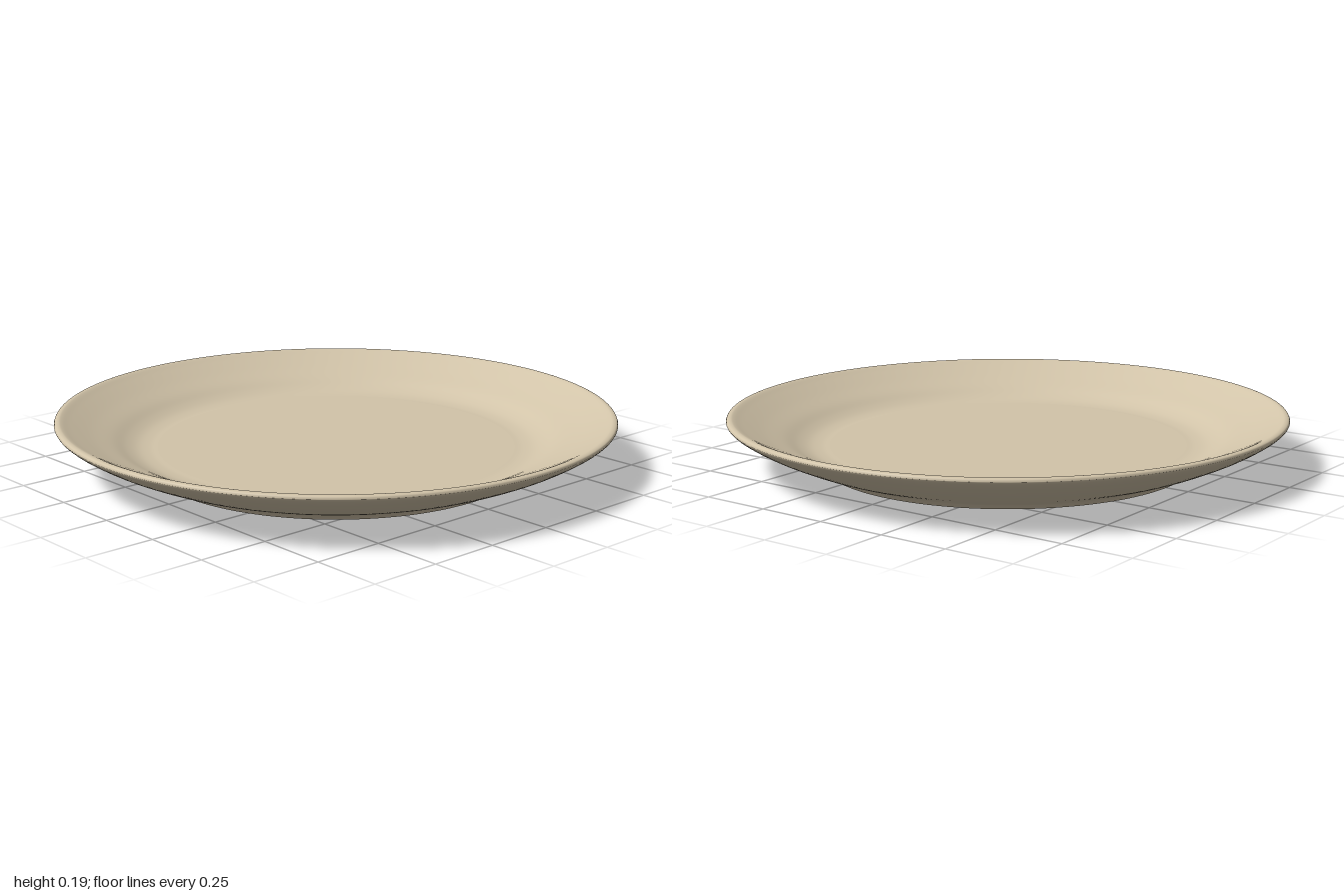
import * as THREE from 'three';

const SEGMENTS = 128;

// Smooth curve through a few [radius, height] points
function smooth(points, divisions) {
  return new THREE.SplineCurve(points.map(([r, y]) => new THREE.Vector2(r, y))).getPoints(divisions);
}

export function createModel() {
  const group = new THREE.Group();
  group.name = 'plate';
  const glaze = new THREE.MeshStandardMaterial({ color: 0xd2c4a9 });
  glaze.name = 'beige glaze';

  const addLathe = (name, points) => {
    const mesh = new THREE.Mesh(new THREE.LatheGeometry(points, SEGMENTS), glaze);
    mesh.name = name;
    group.add(mesh);
  };

  // Recessed disc under the plate
  addLathe('underside', [new THREE.Vector2(0, 0.035), new THREE.Vector2(0.6, 0.035)]);

  // Foot ring: inner slope and rounded bottom
  addLathe('footRing', smooth([
    [0.6, 0.035], [0.607, 0.02], [0.62, 0.006], [0.635, 0], [0.65, 0], [0.668, 0.001],
  ], 20));

  // Flared outer wall, from the foot to the rim
  const outer = smooth([
    [0.668, 0.001], [0.682, 0.014], [0.703, 0.026], [0.8, 0.062], [0.9, 0.108],
    [0.965, 0.146], [0.993, 0.167], [1, 0.177],
  ], 40);
  // Rounded lip, then the inner slope down to the floor
  const inner = smooth([
    [1, 0.177], [0.996, 0.185], [0.985, 0.188], [0.972, 0.185], [0.94, 0.17], [0.87, 0.139],
    [0.8, 0.111], [0.75, 0.088], [0.71, 0.075], [0.67, 0.07], [0.64, 0.07],
  ], 56);
  addLathe('wallAndRim', [...outer, ...inner.slice(1)]);

  // Flat eating surface
  addLathe('floor', [new THREE.Vector2(0.64, 0.07), new THREE.Vector2(0, 0.07)]);

  return group;
}
